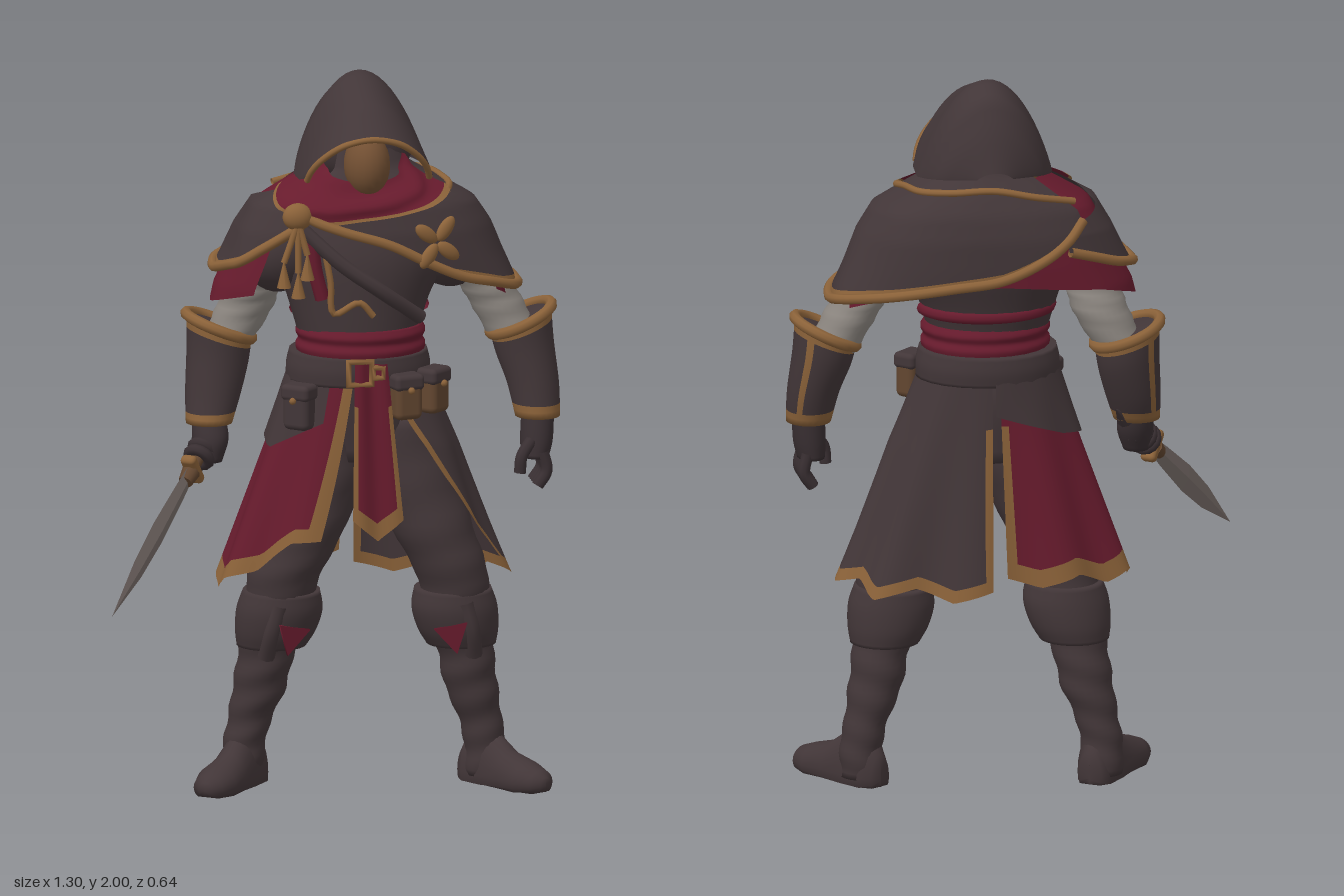
import * as THREE from 'three';
import { RoundedBoxGeometry } from 'three/addons/geometries/RoundedBoxGeometry.js';

const mat = (name, color) => new THREE.MeshStandardMaterial({ name, color, side: THREE.DoubleSide });
const V = (p) => new THREE.Vector3(...p);
const D = Math.PI / 180;
const CX = 0.1;

// Linear lookup in rows of [key, ...values]
function lut(rows, x) {
  if (x <= rows[0][0]) return rows[0].slice(1);
  for (let i = 1; i < rows.length; i++) {
    const [a, b] = [rows[i - 1], rows[i]];
    if (x <= b[0]) return a.slice(1).map((v, k) => v + (b[k + 1] - v) * (x - a[0]) / (b[0] - a[0]));
  }
  return rows[rows.length - 1].slice(1);
}

export function createModel() {
  const root = new THREE.Group();
  root.name = 'hoodedSwordsman';
  const dark = mat('darkCloth', 0x423638), red = mat('redCloth', 0x671b2d), gold = mat('goldTrim', 0x8b6239);
  const linen = mat('greyLinen', 0x8d8781), steel = mat('steel', 0x786d69), skin = mat('skin', 0x735033);
  const leather = mat('leather', 0x624630), black = mat('darkGlove', 0x392f32);

  const add = (name, geo, m, pos = [0, 0, 0], parent = root) => {
    const o = new THREE.Mesh(geo, m);
    o.name = name;
    o.position.set(...pos);
    parent.add(o);
    return o;
  };

  // Surface from f(u,v); cells chosen by trim(u,v) become gold
  function sheet(name, f, m, trim = () => false, nu = 40, nv = 24, wrap = false, parent = root) {
    const pos = [], main = [], edge = [], w = wrap ? nu : nu + 1;
    for (let j = 0; j <= nv; j++) for (let i = 0; i < w; i++) pos.push(...f(i / nu, j / nv));
    for (let j = 0; j < nv; j++) for (let i = 0; i < nu; i++) {
      const a = j * w + i, b = j * w + (i + 1) % w;
      (trim((i + 0.5) / nu, (j + 0.5) / nv) ? edge : main).push(a, a + w, b, b, a + w, b + w);
    }
    const g = new THREE.BufferGeometry();
    g.setAttribute('position', new THREE.Float32BufferAttribute(pos, 3));
    g.setIndex([...main, ...edge]);
    g.addGroup(0, main.length, 0);
    g.addGroup(main.length, edge.length, 1);
    g.computeVertexNormals();
    return add(name, g, [m, gold], [0, 0, 0], parent);
  }

  // Closed body through rings of [x, y, z, rx, rz, slant]
  function loft(name, rings, m, trim, ripple = 0) {
    const c = new THREE.CatmullRomCurve3(rings.map((r) => V(r.slice(0, 3))), false, 'catmullrom');
    const s = new THREE.CatmullRomCurve3(rings.map((r) => V([r[3], r[4], r[5] || 0])), false, 'catmullrom');
    const rows = (rings.length - 1) * 5 + 2;
    return sheet(name, (u, v) => {
      const j = Math.round(v * rows), t = Math.min(Math.max((j - 1) / (rows - 2), 0), 1);
      const p = c.getPoint(t), q = s.getPoint(t), a = u * Math.PI * 2;
      const k = j === 0 || j === rows ? 0 : 1 + ripple * Math.sin(t * 30 + Math.sin(a) * 1.5);
      return [p.x + q.x * k * Math.sin(a), p.y + q.z * Math.sin(a) * k, p.z + q.y * k * Math.cos(a)];
    }, m, trim, 24, rows, true);
  }
  const rod = (name, pts, r, m, closed = false) =>
    add(name, new THREE.TubeGeometry(new THREE.CatmullRomCurve3(pts.map(V), closed), pts.length * 5, r, 8, closed), m);
  // Rounded edging around an ellipse, over angles a0..a1
  const band = (name, [x, y, z, rx, rz, slant = 0], r, m, a0 = 0, a1 = 360) => {
    const pts = [], n = 12, closed = a1 - a0 === 360;
    for (let i = 0; i < (closed ? n : n + 1); i++) {
      const a = (a0 + (a1 - a0) * i / n) * D;
      pts.push([x + rx * Math.sin(a), y + slant * Math.sin(a), z + rz * Math.cos(a)]);
    }
    rod(name, pts, r, m, closed);
  };
  const ball = (name, pos, size, m) => {
    const o = add(name, new THREE.SphereGeometry(1, 20, 14), m, pos);
    o.scale.set(...size);
    return o;
  };

  // Torso, sash and belt
  loft('torso', [[CX, 0.93, -0.1, 0.17, 0.13], [0.09, 1.1, -0.09, 0.19, 0.15], [0.09, 1.24, -0.07, 0.165, 0.14],
    [0.09, 1.36, -0.08, 0.19, 0.155], [CX, 1.5, -0.1, 0.24, 0.175], [CX, 1.63, -0.11, 0.22, 0.15], [CX, 1.72, -0.1, 0.1, 0.1], [CX, 1.82, -0.1, 0.09, 0.08]], dark);
  for (const x of [-0.13, 0.35]) ball('shoulder', [x, 1.51, -0.11], [0.12, 0.12, 0.12], dark);
  loft('sash', [[0.095, 1.22, -0.07, 0.172, 0.153], [0.095, 1.245, -0.07, 0.18, 0.16], [0.095, 1.265, -0.07, 0.172, 0.152],
    [0.095, 1.285, -0.07, 0.18, 0.158], [0.095, 1.305, -0.07, 0.17, 0.148]], red);
  band('sashBackWrap', [0.095, 1.345, -0.075, 0.178, 0.15], 0.018, red, 95, 265);
  loft('belt', [[0.09, 1.15, -0.08, 0.2, 0.167], [0.09, 1.19, -0.08, 0.2, 0.172], [0.09, 1.232, -0.08, 0.19, 0.168]], dark);
  for (const [x, w] of [[0.07, 0.09], [0.12, 0.04]])
    add('buckle', new THREE.TorusGeometry(w / 2, 0.011, 6, 4).rotateZ(Math.PI / 4), gold, [x, 1.195, 0.098]);

  // Coat skirt in two halves, parted at front and back
  const skirt = (a, y, off = 0) => {
    const k = (1.15 - y) / 0.55, f = 0.013 * k * Math.sin(9 * a) + off;
    return [0.095 + (0.195 + 0.185 * k + f) * Math.sin(a), y, -0.085 - 0.012 * k + (0.15 + 0.04 * k + f) * Math.cos(a)];
  };
  const zig = (a) => 0.035 * Math.abs(((a / 36 + 100) % 1) * 2 - 1);
  sheet('leftCoatSkirt', (u, v) => {
    const a0 = lut([[0, 20], [0.2, 28], [0.5, 44], [0.75, 60], [1, 84]], v)[0], a = a0 + (178 - a0) * u;
    const hem = lut([[20, 0.62], [84, 0.585], [120, 0.555], [178, 0.55]], a)[0] + zig(a);
    return skirt(a * D, 1.15 + (hem - 1.15) * v, 0.026 * Math.min(1, v * 3) * Math.max(0, 1 - u * 1.5));
  }, dark, (u, v) => v > 0.94 || u < 0.035 || (u > 0.97 && v > 0.2), 64, 34);
  sheet('rightCoatSkirt', (u, v) => {
    const a0 = 12 + 10 * v, a = a0 + (176 - a0) * u;
    const hem = lut([[20, 0.72], [45, 0.66], [75, 0.56], [120, 0.57], [176, 0.59]], a)[0] + zig(a);
    return skirt(-a * D, 1.15 + (hem - 1.15) * v, 0.012 * v);
  }, red, (u, v) => v > 0.92 || u < 0.04 || (u > 0.97 && v > 0.2), 64, 34);
  sheet('hipWrap', (u, v) => {
    const a = 30 + 150 * u;
    return skirt(-a * D, 1.17 - v * lut([[30, 0.12], [70, 0.2], [130, 0.17], [180, 0.1]], a)[0], 0.014);
  }, dark, undefined, 30, 6);
  sheet('frontTabard', (u, v) => {
    const w = 0.045 + 0.025 * v;
    return [0.1 + 0.02 * v + (u - 0.5) * 2 * w, 1.22 - v * (0.44 + 0.06 * (1 - Math.abs(u * 2 - 1))), 0.098 + 0.006 * Math.sin(u * 9)];
  }, red, (u, v) => v > 0.9 || (v > 0.25 && Math.abs(u - 0.5) > 0.4), 20, 30);

  // Pouches
  for (const [x, y, z, ry, m] of [[0.2, 1.12, 0.08, 0.3, leather], [0.285, 1.125, 0.025, 0.8, leather], [-0.09, 1.09, 0.035, -0.7, dark]]) {
    const g = new THREE.Group();
    g.name = 'pouch';
    g.position.set(x, y, z);
    g.rotation.y = ry;
    add('pouchBody', new RoundedBoxGeometry(0.08, 0.12, 0.06, 3, 0.018), m, [0, 0, 0], g);
    add('pouchFlap', new RoundedBoxGeometry(0.088, 0.045, 0.068, 3, 0.014), dark, [0, 0.045, 0], g);
    add('pouchStud', new THREE.SphereGeometry(0.01, 8, 6), gold, [0, 0.025, 0.035], g);
    root.add(g);
  }

  // Shoulder mantle layers
  const shape = [[1.36, 0.445, 0.208], [1.42, 0.43, 0.212], [1.5, 0.39, 0.212], [1.58, 0.355, 0.208],
    [1.65, 0.31, 0.19], [1.7, 0.22, 0.16], [1.75, 0.13, 0.12], [1.8, 0.11, 0.1]];
  const mantle = (deg, y, k) => {
    const [rx, rz] = lut(shape, y), s = Math.sin(deg * D), c = Math.cos(deg * D), f = k + 0.012 * Math.sin(deg * D * 7 + y * 14);
    const p = (q) => Math.sign(q) * Math.abs(q) ** 0.85;
    return [CX + rx * f * p(s), y, -0.105 + rz * f * p(c)];
  };
  const drape = (name, a0, a1, top, hem, k, m, trim) => sheet(name, (u, v) => {
    const a = a0 + (a1 - a0) * u, t = lut(top, a)[0];
    return mantle(a, t + (lut(hem, a)[0] - t) * v, k);
  }, m, trim, 60, 24);
  const hemRod = (name, a0, a1, hem, k) =>
    rod(name, Array.from({ length: 19 }, (_, i) => a0 + (a1 - a0) * i / 18).map((a) => mantle(a, lut(hem, a)[0] + 0.01, k)), 0.014, gold);
  const leftHem = [[-38, 1.64], [0, 1.565], [31, 1.45], [60, 1.405], [90, 1.385], [140, 1.42], [180, 1.46], [225, 1.61]];
  const rightHem = [[-150, 1.53], [-120, 1.48], [-90, 1.455], [-60, 1.49], [-30, 1.6]];
  drape('redUnderCape', 60, 312, [[0, 1.73]], [[60, 1.4], [90, 1.35], [130, 1.41], [180, 1.45], [225, 1.42], [270, 1.37], [312, 1.41]], 0.93, red);
  drape('leftMantle', -38, 225, [[0, 1.8]], leftHem, 1, dark, (u, v) => v > 0.93);
  hemRod('leftMantleEdge', -38, 225, leftHem, 1.01);
  drape('rightMantle', -150, -30, [[-150, 1.6], [-90, 1.67], [-60, 1.71], [-30, 1.73]], rightHem, 0.99, dark, (u, v) => v > 0.88 || u > 0.96);
  hemRod('rightMantleEdge', -150, -30, rightHem, 1);
  rod('collarTrim', [58, 75, 90, 120, 150, 180, 205, 230].map((a) =>
    mantle(a, lut([[58, 1.68], [90, 1.7], [180, 1.715], [230, 1.67]], a)[0], 1.025)), 0.01, gold);

  // Scarf lying over the mantle at the throat
  sheet('scarf', (u, v) => {
    const a = -80 + 145 * u;
    const top = lut([[-80, 1.79], [-30, 1.735], [0, 1.715], [30, 1.735], [65, 1.79]], a)[0];
    const low = lut([[-80, 1.7], [-50, 1.65], [-15, 1.61], [10, 1.63], [35, 1.66], [65, 1.69]], a)[0];
    return mantle(a, top + (low - top) * v, 1.05 + 0.035 * Math.sin(v * 9 + u * 5));
  }, red, (u, v) => v > 0.9, 32, 12);

  // Hood from arches [position, apexY, apexZ, baseY, baseZ, halfWidth, sharpness]
  const arches = [[0, 1.865, 0.14, 1.735, 0.045, 0.17, 1.3], [0.2, 1.94, 0.05, 1.725, 0, 0.185, 1.7], [0.5, 2, -0.13, 1.72, -0.09, 0.188, 1.8],
    [0.7, 1.965, -0.21, 1.73, -0.15, 0.175, 1.6], [0.87, 1.87, -0.25, 1.74, -0.21, 0.14, 1.6], [1, 1.77, -0.275, 1.75, -0.265, 0.05, 1.6]];
  const hood = (u, v) => {
    const [ya, za, yb, zb, w, e] = lut(arches, v), p = (u - 0.5) * Math.PI, k = Math.abs(Math.cos(p)) ** e;
    return [CX + w * Math.sin(p), yb + (ya - yb) * k, zb + (za - zb) * k];
  };
  sheet('hood', hood, dark, undefined, 32, 20);
  rod('hoodRim', [0, 0.1, 0.2, 0.35, 0.5, 0.65, 0.8, 0.9, 1].map((u) => {
    const [x, y, z] = hood(u, 0);
    return [x, y - 0.006, z - 0.004];
  }), 0.009, gold);
  ball('hoodLining', [CX, 1.8, -0.11], [0.15, 0.12, 0.1], dark);
  ball('face', [CX, 1.765, 0.02], [0.064, 0.09, 0.075], skin);

  // Chest lapels, strap, brooch and tassels
  rod('chestStrap', [[-0.09, 1.6, 0.06], [0.02, 1.5, 0.085], [0.13, 1.42, 0.08], [0.25, 1.33, 0.02]], 0.02, dark);
  rod('lapelTrim', [[-0.03, 1.56, 0.075], [-0.01, 1.45, 0.08], [0, 1.36, 0.078], [0.07, 1.39, 0.082], [0.11, 1.35, 0.077]], 0.009, gold);
  rod('redLapel', [[-0.06, 1.57, 0.062], [-0.05, 1.48, 0.062], [-0.03, 1.4, 0.062]], 0.02, red);
  ball('brooch', [-0.1, 1.635, 0.07], [0.042, 0.038, 0.03], gold);
  for (const [x, y] of [[-0.14, 1.45], [-0.1, 1.42], [-0.075, 1.47]]) {
    rod('tasselCord', [[-0.1, 1.62, 0.08], [x, y + 0.06, 0.085]], 0.009, gold);
    add('tassel', new THREE.ConeGeometry(0.02, 0.08, 8), gold, [x, y + 0.03, 0.085]);
  }
  // Four-petal clasp on the mantle
  for (let i = 0; i < 4; i++) {
    const a = (53 + 90 * i) * D, dx = 0.04 * Math.cos(a);
    const p = ball('claspPetal', [0.285 + dx, 1.555 + 0.045 * Math.sin(a), 0.09 - 0.35 * dx], [0.04, 0.02, 0.014], gold);
    p.rotation.set(0, 0.35, a);
  }

  // Arms: linen sleeve, trimmed bracer, gloved wrist
  const bracer = (side, rings, seam) => {
    loft(side + 'Bracer', rings, dark, (u, v) => v > 0.06 && v < 0.95 && (v < 0.19 || v > 0.84 || Math.abs(u - seam) < 0.025));
    band(side + 'BracerRim', rings[0], 0.016, gold);
  };
  loft('leftSleeve', [[0.4, 1.47, -0.11, 0.07, 0.08], [0.44, 1.41, -0.11, 0.075, 0.083], [0.48, 1.34, -0.11, 0.075, 0.08], [0.53, 1.24, -0.1, 0.07, 0.075]], linen, undefined, 0.03);
  bracer('left', [[0.545, 1.295, -0.1, 0.084, 0.1, 0.04], [0.555, 1.22, -0.095, 0.08, 0.094, 0.02],
    [0.575, 1.12, -0.075, 0.072, 0.082], [0.585, 1.03, -0.055, 0.062, 0.07]], 0.4);
  loft('leftHand', [[0.585, 1.05, -0.05, 0.045, 0.05], [0.58, 0.97, -0.04, 0.045, 0.056], [0.575, 0.92, -0.035, 0.038, 0.055]], black);
  for (let i = 0; i < 4; i++) {
    const z = 0.008 - i * 0.028;
    rod('leftFinger', [[0.59, 0.94, z], [0.6, 0.885, z], [0.575, 0.845, z + 0.004]], 0.017, black);
  }
  rod('leftThumb', [[0.56, 0.97, 0.0], [0.53, 0.93, 0.02], [0.525, 0.885, 0.02]], 0.017, black);
  loft('rightSleeve', [[-0.17, 1.47, -0.14, 0.07, 0.08], [-0.19, 1.41, -0.15, 0.075, 0.083], [-0.21, 1.34, -0.17, 0.078, 0.08], [-0.26, 1.24, -0.18, 0.07, 0.075]], linen, undefined, 0.03);
  bracer('right', [[-0.28, 1.28, -0.19, 0.09, 0.102, -0.035], [-0.285, 1.2, -0.185, 0.085, 0.095, -0.02],
    [-0.3, 1.1, -0.165, 0.077, 0.082], [-0.315, 1.02, -0.14, 0.064, 0.067]], 0.6);
  loft('rightHand', [[-0.315, 1.04, -0.14, 0.045, 0.05], [-0.315, 0.98, -0.115, 0.05, 0.058], [-0.32, 0.92, -0.1, 0.035, 0.04]], black);

  // Sword, pointing down and forward
  const hilt = V([-0.375, 0.91, -0.045]), dir = V([-0.652, 0.58, 0.313]).sub(hilt), len = dir.length();
  dir.normalize();
  const thin = dir.clone().cross(V([0, 1, 0])).normalize();
  const sword = new THREE.Group();
  sword.name = 'sword';
  sword.quaternion.setFromRotationMatrix(new THREE.Matrix4().makeBasis(dir.clone().cross(thin), dir, thin));
  sword.position.copy(hilt);
  root.add(sword);
  const bladeGeo = new THREE.LatheGeometry([[0.022, 0], [0.03, 0.08], [0.039, 0.24], [0.032, 0.38], [0, len]].map((p) => new THREE.Vector2(...p)), 4)
    .scale(1, 1, 0.28).toNonIndexed();
  bladeGeo.computeVertexNormals();
  add('blade', bladeGeo, steel, [0, 0, 0], sword);
  add('guard', new RoundedBoxGeometry(0.095, 0.03, 0.045, 2, 0.012), gold, [0, 0, 0], sword);
  add('collar', new THREE.CylinderGeometry(0.02, 0.026, 0.04, 10), leather, [0, 0.03, 0], sword);
  add('grip', new THREE.CylinderGeometry(0.017, 0.017, 0.22, 10), leather, [0, -0.11, 0], sword);
  add('pommel', new THREE.ConeGeometry(0.026, 0.07, 8).rotateX(Math.PI), black, [0, -0.23, 0], sword);
  for (let i = 0; i < 4; i++)
    add('rightFinger', new THREE.TorusGeometry(0.03, 0.016, 8, 14).rotateX(Math.PI / 2), black, [0, -0.045 - i * 0.028, 0], sword);

  // Legs, mirrored about the hips, right one set further back
  for (const [side, sx] of [['left', 1], ['right', -1]]) {
    const place = ([x, y, z, ...r]) => [sx > 0 ? x : 0.23 - x, y, sx > 0 ? z : z - 0.08 * (1 - y), ...r];
    loft(side + 'Thigh', [[0.2, 1.05, -0.09, 0.1, 0.12], [0.24, 0.88, -0.075, 0.118, 0.12], [0.295, 0.72, -0.055, 0.112, 0.118],
      [0.345, 0.6, -0.05, 0.1, 0.11], [0.36, 0.5, -0.06, 0.09, 0.1]].map(place), dark, undefined, 0.02);
    loft(side + 'KneeCuff', [[0.35, 0.555, -0.06, 0.106, 0.112, 0], [0.355, 0.5, -0.06, 0.119, 0.118], [0.365, 0.44, -0.065, 0.112, 0.112],
      [0.375, 0.395, -0.07, 0.096, 0.097]].map(place), dark);
    loft(side + 'Boot', [[0.37, 0.46, -0.07, 0.09, 0.09], [0.39, 0.36, -0.08, 0.077, 0.085], [0.405, 0.27, -0.085, 0.073, 0.08],
      [0.43, 0.18, -0.09, 0.06, 0.068], [0.445, 0.1, -0.09, 0.058, 0.066], [0.445, 0.02, -0.09, 0.056, 0.062]].map(place), dark, undefined, 0.045);
    // Pointed tab and flap on the cuff
    const tab = add(side + 'CuffTab', new THREE.CylinderGeometry(0.055, 0.055, 0.009, 3).rotateX(Math.PI / 2), red, place([0.335, 0.44, 0.047]));
    tab.rotation.set(0.12, -0.27 * sx, 0.25 * sx);
    rod(side + 'CuffFlap', [[0.37, 0.53, 0.04], [0.39, 0.45, 0.034], [0.4, 0.375, 0.005]].map(place), 0.024, dark);
    // Foot with a flat sole
    const foot = new THREE.Group();
    foot.name = side + 'Foot';
    const [fx, , fz] = place([0.445, 0.1, -0.085]);
    foot.position.set(fx, 0, fz);
    foot.rotation.y = sx * 35 * D;
    root.add(foot);
    const rows = [[-0.08, 0, 0.05], [-0.076, 0.035, 0.09], [-0.045, 0.052, 0.14], [0.03, 0.054, 0.15], [0.1, 0.056, 0.1],
      [0.17, 0.062, 0.08], [0.22, 0.045, 0.062], [0.24, 0.02, 0.045], [0.242, 0, 0.03]];
    sheet(side + 'Shoe', (u, v) => {
      const [z, w, h] = rows[Math.round(v * 8)], a = u * Math.PI * 2;
      return [w * Math.cos(a), Math.max(0, 0.025 + (h - 0.025) * Math.sin(a)), z];
    }, dark, undefined, 24, 8, true, foot);
  }
  return root;
}
